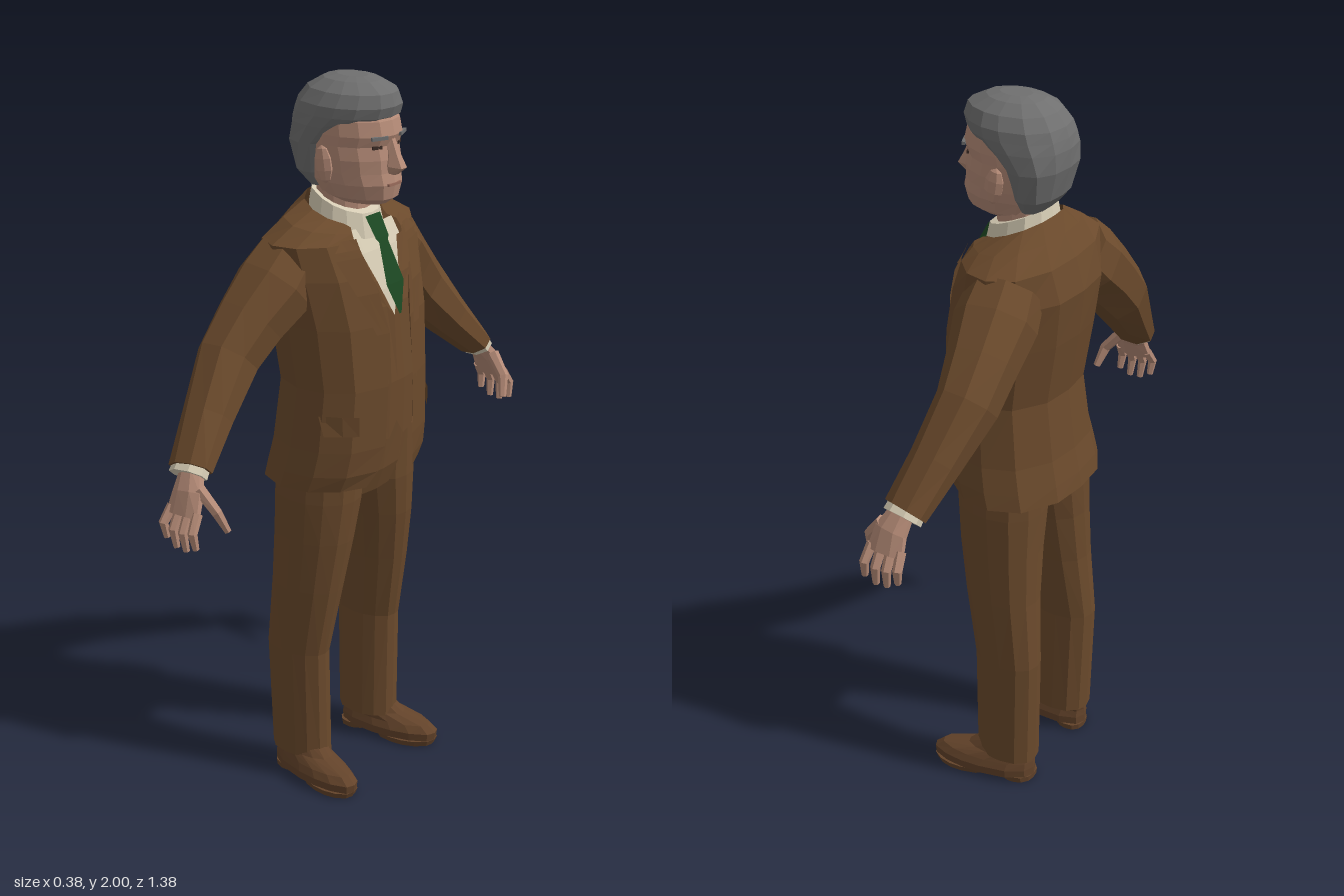
import * as THREE from 'three';

const V = (x, y, z) => new THREE.Vector3(x, y, z);
const mat = (name, color, side = THREE.FrontSide) => {
  const m = new THREE.MeshStandardMaterial({ color, side });
  m.name = name;
  return m;
};

// Flat-shaded geometry from a list of triangle corners
function flat(pts) {
  const g = new THREE.BufferGeometry().setFromPoints(pts);
  g.computeVertexNormals();
  return g;
}

// Skin over rows of points; closed rows wrap round and get end caps
function loft(rows, closed = true) {
  const out = [], n = rows[0].length, m = closed ? n : n - 1;
  for (let i = 0; i < rows.length - 1; i++)
    for (let j = 0; j < m; j++) {
      const k = (j + 1) % n, a = rows[i][j], b = rows[i][k], c = rows[i + 1][k], d = rows[i + 1][j];
      out.push(a, b, c, a, c, d);
    }
  if (closed) [rows[0], rows[rows.length - 1]].forEach((r, end) => {
    const c = r.reduce((s, p) => s.add(p), V(0, 0, 0)).divideScalar(n);
    r.forEach((p, j) => {
      const q = r[(j + 1) % n];
      if (end) out.push(c, p, q); else out.push(c, q, p);
    });
  });
  return flat(out);
}

// Horizontal half outline: share of the width, share of the depth from back to front
const OUTLINE = [[0, 1], [.38, .97], [.75, .82], [.95, .64], [1, .45], [.88, .2], [.5, .04], [0, 0]];
function ring([y, cx, w, zb, zf, tilt = 0]) {
  const half = OUTLINE.map(([x, t]) => [x * w, t]);
  const all = [...half, ...half.slice(1, -1).reverse().map(([x, t]) => [-x, t])];
  return all.map(([x, t]) => V(cx + x, y - tilt * t, zb + t * (zf - zb)));
}
const stack = levels => loft(levels.map(ring));

// Limb along a path of [x, y, z, side radius, depth radius]
function limb(path, n = 8) {
  const c = path.map(p => V(p[0], p[1], p[2]));
  return loft(path.map((p, i) => {
    const d = c[Math.min(i + 1, c.length - 1)].clone().sub(c[Math.max(i - 1, 0)]).normalize();
    const u = V(0, 0, 1).addScaledVector(d, -d.z).normalize(), v = d.clone().cross(u);
    return Array.from({ length: n }, (_, j) => {
      const t = (j + .5) / n * Math.PI * 2;
      return c[i].clone().addScaledVector(u, p[4] * Math.cos(t)).addScaledVector(v, p[3] * Math.sin(t));
    });
  }));
}

// Mirrored copy with its triangle order restored
function mirror(geo) {
  const g = geo.index ? geo.toNonIndexed() : geo, p = g.attributes.position, pts = [];
  for (let i = 0; i < p.count; i += 3)
    for (const k of [0, 2, 1]) pts.push(V(-p.getX(i + k), p.getY(i + k), p.getZ(i + k)));
  return flat(pts);
}

// Jacket levels: y, half width, back, front, half opening, front drop
const JACKET = [
  [.915, .24, -.19, .145, .1, 0], [.96, .236, -.183, .165, .075, 0], [1.03, .226, -.168, .176, .057, 0],
  [1.2, .212, -.147, .18, .052, 0], [1.37, .222, -.175, .17, .05, 0], [1.5, .238, -.19, .14, .078, 0],
  [1.59, .25, -.165, .1, .095, 0], [1.645, .185, -.13, .088, .09, .035], [1.69, .115, -.1, .07, .075, .07],
];
const jacketHalf = ([, w, , , gap]) =>
  [[gap, 1], [Math.max(.7 * w, gap + .004), .9], [.93 * w, .7], [w, .45], [.86 * w, .2], [.45 * w, .03], [0, 0]];
function jacketRow(l) {
  const half = jacketHalf(l);
  return [...half, ...half.slice(0, -1).reverse().map(([x, t]) => [-x, t])]
    .map(([x, t]) => V(x, l[0] - l[5] * t, l[2] + t * (l[3] - l[2])));
}

// Depth of the jacket front at a point
function frontZ(x, y) {
  const ys = JACKET.map(l => l[0] - l[5]);
  let i = 0;
  while (i < ys.length - 2 && y > ys[i + 1]) i++;
  const k = THREE.MathUtils.clamp((y - ys[i]) / (ys[i + 1] - ys[i]), 0, 1);
  const l = JACKET[i].map((v, j) => THREE.MathUtils.lerp(v, JACKET[i + 1][j], k));
  const h = jacketHalf(l);
  let t = 1;
  for (let j = 0; j < 3; j++)
    if (x > h[j][0]) t = THREE.MathUtils.lerp(h[j][1], h[j + 1][1], Math.min(1, (x - h[j][0]) / (h[j + 1][0] - h[j][0])));
  return l[2] + t * (l[3] - l[2]);
}
// Cloth panel lying over or under the jacket front
const panel = (rows, off) => loft(rows.map(r => r.map(([x, y]) => V(x, y, frontZ(x, y) + off))), false);
const bands = rows => rows.map(([y, a, b]) => [[a, y], [(a + b) / 2, y], [b, y]]);

export function createModel() {
  const tweed = mat('brown tweed', 0x6b4a2c, THREE.DoubleSide);
  const leather = mat('brown leather', 0x63432a);
  const skin = mat('skin', 0xb58b77);
  const hair = mat('grey hair', 0x6f6f6f);
  const linen = mat('cream shirt', 0xd6ccb4, THREE.DoubleSide);
  const silk = mat('green tie', 0x1c4722, THREE.DoubleSide);
  const dark = mat('dark eye', 0x3a2a24);
  const lip = mat('lip', 0x9a6c5c);

  const root = new THREE.Group(), man = new THREE.Group();
  root.name = 'suitedMan';
  man.name = 'figure';
  man.rotation.y = Math.PI / 2;
  root.add(man);
  const add = (name, geo, m) => {
    const mesh = new THREE.Mesh(geo, m);
    mesh.name = name;
    man.add(mesh);
  };
  const pair = (name, geo, m) => {
    add(name + 'Left', geo, m);
    add(name + 'Right', mirror(geo), m);
  };

  // Suit
  add('jacket', loft(JACKET.map(jacketRow), false), tweed);
  pair('lapel', panel(bands([[1.2, .052, .056], [1.35, .05, .088], [1.46, .07, .13], [1.555, .09, .168],
    [1.562, .092, .14], [1.575, .094, .165], [1.6, .094, .135]]), .011), tweed);
  pair('pocketFlap', panel(bands([[1.08, .145, .206], [1.135, .145, .206]]), .011), tweed);
  pair('waistcoat', panel([[[0, 1.085], [.03, 1.04], [.075, 1.05]], [[0, 1.2], [.03, 1.2], [.075, 1.2]],
    [[0, 1.38], [.025, 1.41], [.07, 1.41]], [[.045, 1.48], [.055, 1.48], [.1, 1.48]],
    [[.078, 1.57], [.085, 1.57], [.12, 1.57]]], -.01), tweed);
  pair('sleeve', limb([[.165, 1.53, -.055, .1, .1], [.225, 1.47, -.06, .107, .112], [.31, 1.395, -.072, .096, .095],
    [.39, 1.315, -.077, .088, .083], [.5, 1.195, -.05, .064, .07], [.597, 1.092, -.022, .042, .064]]), tweed);
  add('trouserSeat', stack([[.865, 0, .16, -.12, .1], [.93, 0, .2, -.135, .122], [1.07, 0, .19, -.12, .14]]), tweed);
  pair('trouserLeg', stack([[.075, .148, .065, -.135, .045], [.4, .154, .063, -.145, .045], [.6, .141, .077, -.132, .08],
    [.75, .127, .09, -.13, .103], [.87, .113, .104, -.132, .115], [1.02, .108, .1, -.13, .12]]), tweed);

  // Shirt and tie
  pair('shirtFront', panel(bands([[1.36, 0, .06], [1.45, 0, .08], [1.55, 0, .11], [1.61, 0, .1]]), -.018), linen);
  add('shirtCollar', stack([[1.66, 0, .1, -.1, .094, .08], [1.715, 0, .088, -.092, .08, .07]]), linen);
  pair('tie', panel(bands([[1.39, 0, .004], [1.47, 0, .035], [1.575, 0, .018], [1.585, 0, .026], [1.64, 0, .03]]), .012), silk);
  pair('shirtCuff', limb([[.585, 1.105, -.025, .035, .055], [.609, 1.079, -.02, .036, .057]]), linen);

  // Hands
  pair('palm', limb([[.6, 1.09, -.015, .024, .035], [.63, 1.045, 0, .023, .048], [.655, .99, .003, .017, .056]]), skin);
  for (let i = 0; i < 4; i++) {
    const z = -.04 + i * .029, drop = [.018, 0, -.002, .012][i];
    pair('finger' + (i + 1), limb([[.648, 1.005, z, .014, .014], [.675, .955 + drop / 2, z * 1.15, .013, .013],
      [.668, .905 + drop, z * 1.15 + .004, .009, .009]], 6), skin);
  }
  pair('thumb', limb([[.622, 1.06, .03, .018, .018], [.61, 1.005, .078, .015, .016], [.588, .95, .094, .01, .01]], 6), skin);

  // Shoes, toes turned slightly out
  const shoe = (name, levels) => {
    const g = stack(levels), p = g.attributes.position;
    for (let i = 0; i < p.count; i++) p.setX(i, p.getX(i) + p.getZ(i) * .12);
    g.computeVertexNormals();
    pair(name, g, leather);
  };
  shoe('shoe', [[.016, .163, .06, -.13, .172], [.04, .163, .062, -.13, .175], [.06, .163, .054, -.128, .15],
    [.08, .157, .05, -.126, .07], [.11, .152, .045, -.115, .03]]);
  shoe('shoeSole', [[0, .163, .055, -.01, .165], [.017, .163, .06, -.02, .172]]);
  shoe('shoeHeel', [[0, .16, .045, -.128, -.035], [.017, .16, .048, -.13, -.03]]);

  // Head
  add('neck', stack([[1.58, 0, .075, -.08, .06], [1.73, 0, .075, -.08, .06]]), skin);
  add('face', stack([[1.678, 0, .055, -.05, .125], [1.695, 0, .08, -.07, .148], [1.735, 0, .099, -.09, .156],
    [1.765, 0, .105, -.1, .15], [1.8, 0, .109, -.1, .149], [1.835, 0, .11, -.11, .142], [1.862, 0, .111, -.11, .153],
    [1.9, 0, .109, -.11, .144], [1.95, 0, .085, -.08, .11]]), skin);
  add('nose', limb([[0, 1.855, .137, .012, .012], [0, 1.81, .148, .017, .022], [0, 1.783, .15, .023, .04],
    [0, 1.764, .145, .017, .018]], 6), skin);
  const ear = new THREE.SphereGeometry(1, 7, 5).scale(.014, .05, .028).rotateX(-.15).translate(.113, 1.785, .012);
  pair('ear', flat(mirrorPoints(ear)), skin);
  const plate = (w, h, d, ry, x, y, z) => new THREE.BoxGeometry(w, h, d).rotateY(ry).translate(x, y, z).toNonIndexed();
  pair('eye', plate(.026, .009, .008, .4, .043, 1.834, .13), dark);
  pair('eyebrow', plate(.046, .009, .009, .4, .046, 1.86, .141), hair);
  add('mouth', plate(.05, .007, .008, 0, 0, 1.735, .153), lip);
  add('hair', stack([[1.71, 0, .075, -.088, -.02], [1.75, 0, .104, -.122, 0], [1.83, 0, .121, -.145, .03],
    [1.88, 0, .124, -.146, .1], [1.908, 0, .122, -.14, .143], [1.935, 0, .118, -.13, .152], [1.968, 0, .098, -.105, .143],
    [1.992, 0, .062, -.065, .095], [2, 0, .03, -.03, .06]]), hair);
  return root;
}

// Triangle corners of an indexed geometry
function mirrorPoints(geo) {
  const p = geo.toNonIndexed().attributes.position;
  return Array.from({ length: p.count }, (_, i) => V(p.getX(i), p.getY(i), p.getZ(i)));
}
